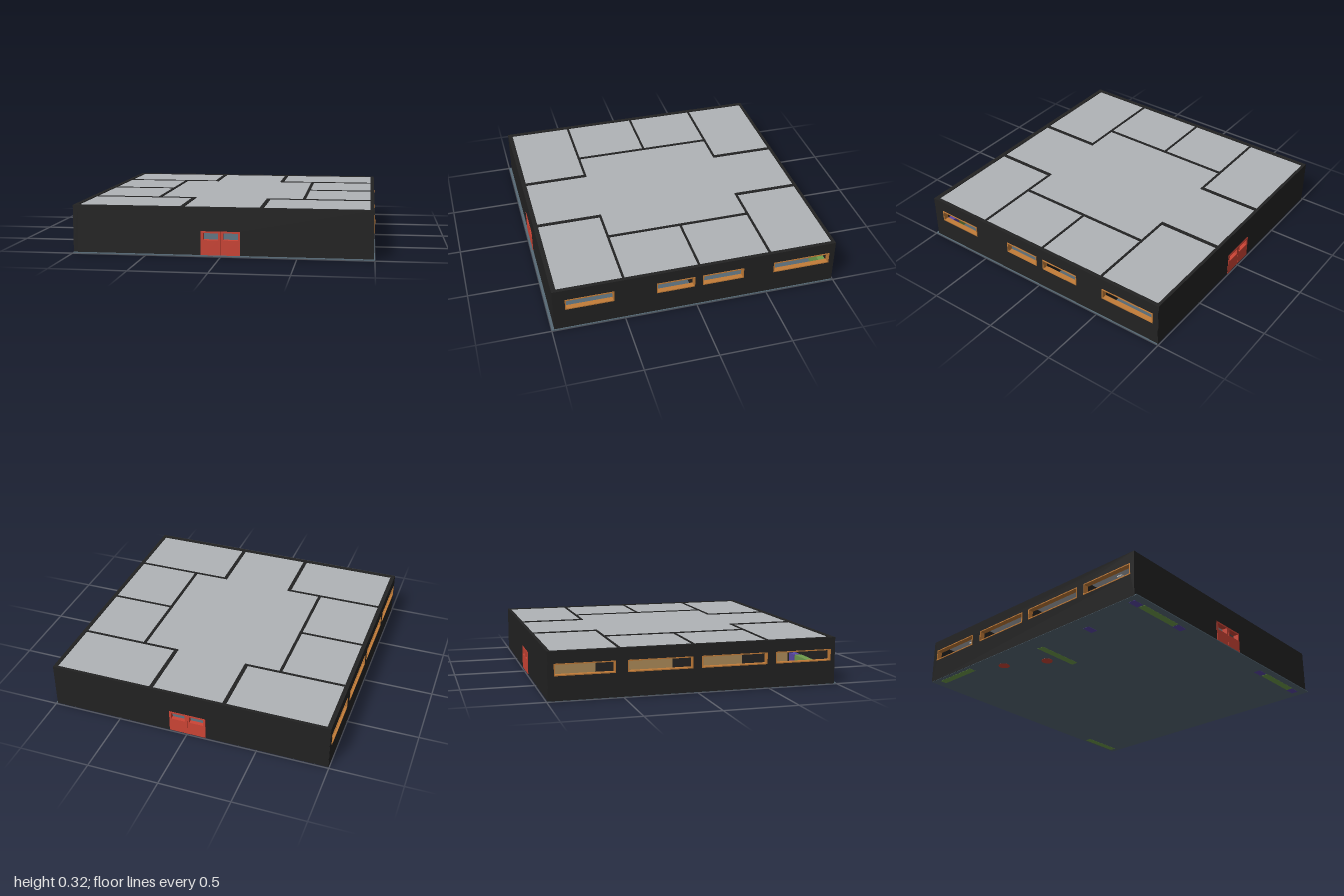
import * as THREE from 'three';

const mat = (name, color) => Object.assign(new THREE.MeshStandardMaterial({ color }), { name });

export function createModel() {
  const model = new THREE.Group();
  model.name = 'schoolBuilding';
  const M = {
    wall: mat('charcoalWall', 0x222222),
    ceiling: mat('greyCeiling', 0xb0b3b7),
    floor: mat('slateFloor', 0x566975),
    door: mat('redDoor', 0xcc4435),
    frame: mat('orangeWood', 0xc27c38),
    panel: mat('tanPanel', 0xb08d5a),
    green: mat('greenShelf', 0x6f9c4c),
    purple: mat('purpleDesk', 0x5a48a8),
    light: mat('whiteLight', 0xf2f2f2),
  };

  const add = (name, geometry, material, parent = model) => {
    const mesh = new THREE.Mesh(geometry, material);
    mesh.name = name;
    parent.add(mesh);
    return mesh;
  };
  // Box given by its min and max on each axis
  const box = (name, material, x0, x1, y0, y1, z0, z1) => {
    const m = add(name, new THREE.BoxGeometry(x1 - x0, y1 - y0, z1 - z0), material);
    m.position.set((x0 + x1) / 2, (y0 + y1) / 2, (z0 + z1) / 2);
    return m;
  };
  const rect = (Type, a0, a1, b0, b1) => {
    const s = new Type();
    s.moveTo(a0, b0).lineTo(a1, b0).lineTo(a1, b1).lineTo(a0, b1).closePath();
    return s;
  };
  const extrude = (shape, depth) => new THREE.ExtrudeGeometry(shape, { depth, bevelEnabled: false });

  const BASE = 0.004, TOP = 0.325, CEIL = 0.32;
  const SILL = 0.165, HEAD = 0.245;

  // Floor slab, showing as a narrow step along the front
  box('floor', M.floor, -0.995, 1, 0.002, 0.008, -0.99, 1);
  box('ceiling', M.ceiling, -0.97, 0.97, CEIL - 0.012, CEIL, -0.975, 0.955);

  // Side walls with framed window openings
  const sides = [
    { name: 'left', inner: 0.966, outer: 0.993, frame: 0.961,
      spans: [[0.57, 0.9], [0.015, 0.28], [-0.33, -0.04], [-0.95, -0.545]] },
    { name: 'right', inner: -0.996, outer: -0.966, frame: -1,
      spans: [[-0.95, -0.55], [-0.47, -0.03], [0.03, 0.49], [0.55, 0.95]] },
  ];
  for (const s of sides) {
    const shape = rect(THREE.Shape, -0.99, 0.982, BASE, TOP);
    for (const [a, b] of s.spans) {
      shape.holes.push(rect(THREE.Path, a, b, SILL, HEAD));
      const ring = rect(THREE.Shape, a, b, SILL, HEAD);
      ring.holes.push(rect(THREE.Path, a + 0.007, b - 0.007, SILL + 0.007, HEAD - 0.007));
      const f = add(s.name + 'WindowFrame', extrude(ring, 0.037), M.frame);
      f.rotation.y = -Math.PI / 2;
      f.position.x = s.frame + 0.037;
    }
    const w = add(s.name + 'Wall', extrude(shape, s.outer - s.inner), M.wall);
    w.rotation.y = -Math.PI / 2;
    w.position.x = s.outer;
  }

  // End walls with a doorway, each filled by a pair of glazed-opening doors
  for (const [name, z, depth] of [['front', 0.95, 0.032], ['back', -0.992, 0.022]]) {
    const s = new THREE.Shape();
    s.moveTo(-0.994, BASE).lineTo(-0.135, BASE).lineTo(-0.135, 0.167).lineTo(0.127, 0.167)
      .lineTo(0.127, BASE).lineTo(0.991, BASE).lineTo(0.991, TOP).lineTo(-0.994, TOP).closePath();
    add(name + 'Wall', extrude(s, depth), M.wall).position.z = z;
    for (const [a, b] of [[-0.135, -0.005], [-0.003, 0.127]]) {
      const d = rect(THREE.Shape, a, b, 0.006, 0.167);
      d.holes.push(rect(THREE.Path, a + 0.016, b - 0.014, 0.108, 0.155));
      add(name + 'Door', extrude(d, depth + 0.006), M.door).position.z = z - 0.003;
    }
  }

  // Partition walls: corner rooms, corridor sides and room dividers, both sides
  for (const side of [-1, 1]) {
    const wall = (a, b, z0, z1) =>
      box('partition', M.wall, Math.min(side * a, side * b), Math.max(side * a, side * b), BASE, TOP, z0, z1);
    wall(0.25, 0.276, -0.975, -0.512);
    wall(0.25, 0.276, 0.492, 0.955);
    wall(0.25, 0.97, -0.528, -0.512);
    wall(0.25, 0.97, 0.492, 0.508);
    wall(0.5, 0.52, -0.512, 0.492);
    wall(0.52, 0.97, -0.027, -0.012);

    // Tan lining on the room faces
    const lining = (x, z0, z1) => {
      box('roomLining', M.panel, side * x - 0.002, side * x + 0.002, 0.01, CEIL - 0.012, z0, z1);
    };
    lining(0.277, -0.97, -0.53);
    lining(0.277, 0.51, 0.95);
    lining(0.521, -0.51, -0.03);
    lining(0.521, -0.01, 0.49);

    // Ceiling lights in every room
    for (const [x, z] of [[0.45, -0.75], [0.8, -0.75], [0.75, -0.27], [0.75, 0.24], [0.45, 0.73], [0.8, 0.73]])
      box('ceilingLight', M.light, side * x - 0.05, side * x + 0.05, 0.303, 0.308, z - 0.02, z + 0.02);
  }

  // Low green shelves against the walls
  for (const [x, z, w, d] of [
    [0.8, -0.945, 0.32, 0.05], [-0.94, -0.76, 0.05, 0.33], [-0.7, 0.026, 0.34, 0.05],
    [-0.69, 0.925, 0.34, 0.05], [0.69, 0.925, 0.34, 0.05],
  ]) {
    box('shelf', M.green, x - w / 2, x + w / 2, 0.001, 0.12, z - d / 2, z + d / 2);
  }

  // Purple cupboards beside the shelves, and desks in the right-hand rooms
  for (const [x, z] of [[0.9, 0.92], [0.47, 0.92], [-0.47, 0.92], [-0.91, 0.92], [-0.84, 0.465]])
    box('cupboard', M.purple, x - 0.04, x + 0.04, 0.001, 0.12, z - 0.025, z + 0.025);
  for (const z of [0.18, 0.34, 0.64, 0.8])
    for (const x of [-0.86, -0.7]) {
      box('deskTop', M.purple, x - 0.055, x + 0.055, 0.07, 0.08, z - 0.04, z + 0.04);
      for (const sx of [-0.045, 0.045])
        box('deskLeg', M.wall, x + sx - 0.004, x + sx + 0.004, 0.008, 0.07, z - 0.03, z + 0.03);
    }

  // Round red stools
  for (const [x, z] of [[-0.69, -0.09], [-0.836, -0.376]])
    add('stool', new THREE.CylinderGeometry(0.04, 0.04, 0.059, 20), M.door).position.set(x, 0.0305, z);

  return model;
}
